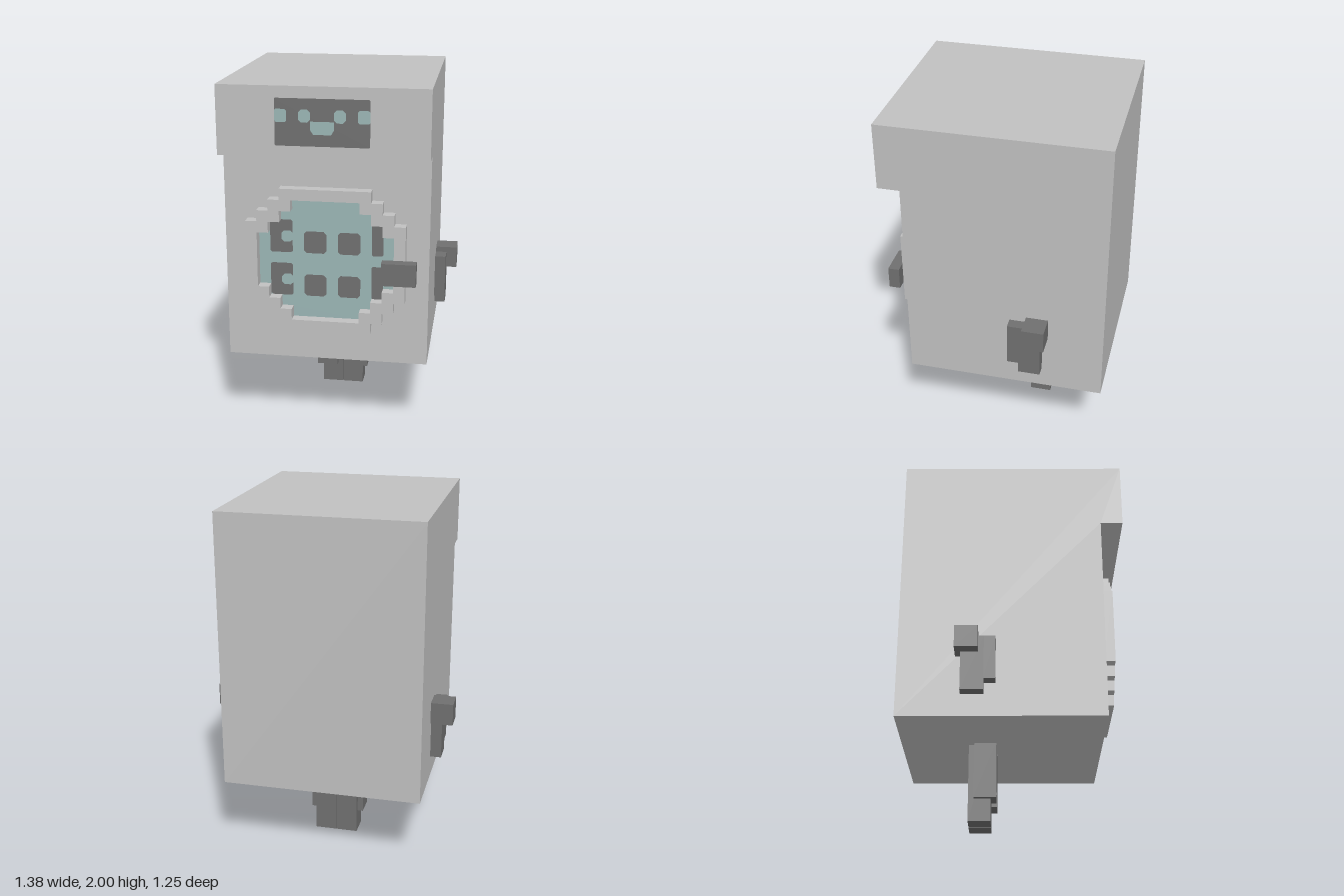
import * as THREE from 'three';

const mat = (name, color, side = THREE.FrontSide) => {
  const m = new THREE.MeshStandardMaterial({ color, side });
  m.name = name;
  return m;
};

export function createModel() {
  const casing = mat('light grey casing', 0xc0c0c0);
  const dark = mat('dark grey', 0x6f6f6f);
  const glass = mat('pale teal', 0x9ab5b4);

  // Everything is laid out in blocks, sixteen to one unit
  const model = new THREE.Group();
  model.name = 'washingMachine';
  model.scale.setScalar(1 / 16);

  const add = (name, geometry, material, parent = model) => {
    const mesh = new THREE.Mesh(geometry, material);
    mesh.name = name;
    parent.add(mesh);
    return mesh;
  };
  // Box given by its two opposite corners
  const box = (name, material, [x0, y0, z0], [x1, y1, z1], parent) => {
    const g = new THREE.BoxGeometry(x1 - x0, y1 - y0, z1 - z0);
    g.translate((x0 + x1) / 2, (y0 + y1) / 2, (z0 + z1) / 2);
    return add(name, g, material, parent);
  };
  const polygon = (pts) => new THREE.Shape(pts.map(([x, y]) => new THREE.Vector2(x, y)));
  // Painted plate with clipped corners
  const spot = (name, material, x0, y0, x1, y1, z, c = 0.25) => {
    const s = polygon([[x0 + c, y0], [x1 - c, y0], [x1, y0 + c], [x1, y1 - c],
      [x1 - c, y1], [x0 + c, y1], [x0, y1 - c], [x0, y0 + c]]);
    const g = new THREE.ShapeGeometry(s);
    g.translate(0, 0, z);
    return add(name, g, material);
  };
  // Stepped round outline from half-widths at successive rows, mirrored four ways
  const stepped = (widths, top, bottom) => {
    const right = [];
    widths.forEach((w, i) => right.push([w, top - i], [w, top - i - 1]));
    right.pop();
    const lower = right.map(([x, y]) => [x, top + bottom - y]).reverse();
    const half = [...right, ...lower];
    const left = half.map(([x, y]) => [-x, y]).reverse();
    return [...half, ...left].reverse();
  };

  // Casing: side profile with the overhanging control panel, extruded across
  const profile = polygon([[-10, 7], [8, 7], [8, 26], [10, 26], [10, 32], [-10, 32]]);
  const body = new THREE.ExtrudeGeometry(profile, { depth: 18, bevelEnabled: false });
  body.rotateY(-Math.PI / 2);
  body.translate(9, 0, 0);
  add('casing', body, casing);

  // Porthole rim
  const outer = stepped([4, 5, 6, 7], 23, 10);
  const inner = stepped([3, 4, 5, 6], 22, 11);
  const rimShape = polygon(outer);
  rimShape.holes.push(new THREE.Path(inner.map(([x, y]) => new THREE.Vector2(x, y))));
  const rim = new THREE.ExtrudeGeometry(rimShape, { depth: 1, bevelEnabled: false });
  rim.translate(0, 0, 8);
  add('doorRim', rim, casing);

  // Porthole glass and its dark marks
  const pane = new THREE.ShapeGeometry(polygon([...inner].reverse()));
  // Front is kept towards +z by the shape triangulation
  pane.translate(0, 0, 8.03);
  add('doorGlass', pane, glass);
  for (const y of [13, 17]) {
    spot('glassMark', dark, -2, y, 0, y + 2, 8.07);
    spot('glassMark', dark, 1, y, 3, y + 2, 8.07);
    spot('glassSideMark', dark, -5, y === 13 ? 13 : 17, -3, y === 13 ? 16 : 20, 8.07, 0.15);
    spot('glassSideNotch', glass, -4, y === 13 ? 14 : 18, -2.95, y === 13 ? 15 : 19, 8.11, 0.25);
    spot('glassEdgeMark', dark, 4, y, 5, y + 3, 8.07, 0.1);
  }
  box('doorHandle', dark, [5, 15, 9], [8, 17, 10]);

  // Face display
  spot('display', dark, -4, 27, 4, 31, 10.03, 0.08);
  for (const s of [-1, 1]) {
    spot('eye', glass, s * 1.5 - 0.5, 29, s * 1.5 + 0.5, 30.1, 10.07);
    spot('cheek', glass, s * 3.5 - 0.5, 29, s * 3.5 + 0.5, 30.1, 10.07, 0.12);
  }
  const mouth = new THREE.ShapeGeometry(polygon([[-0.75, 28], [0.75, 28], [1, 28.4], [1, 29.1], [-1, 29.1], [-1, 28.4]]));
  mouth.translate(0, 0, 10.07);
  add('mouth', mouth, glass);

  // Arms and legs, one of each per side
  for (const s of [-1, 1]) {
    const side = s > 0 ? 'left' : 'right';
    const limb = (name, x0, x1, y0, y1, z0, z1) =>
      box(side + name, dark, [Math.min(s * x0, s * x1), y0, z0], [Math.max(s * x0, s * x1), y1, z1]);
    limb('Arm', 8.5, 10, 9, 14, -4.5, -2.5);
    limb('ArmFront', 8.5, 10, 10, 14, -2.5, -1.5);
    limb('Hand', 8.5, 11, 12.5, 14.5, -5, -3);
    limb('Leg', 0.03, 2, 0, 7.2, -4, -2);
    limb('Shin', 0.5, 2.5, 2, 7.2, -3.5, -1.5);
  }

  const group = new THREE.Group();
  group.add(model);
  return group;
}
